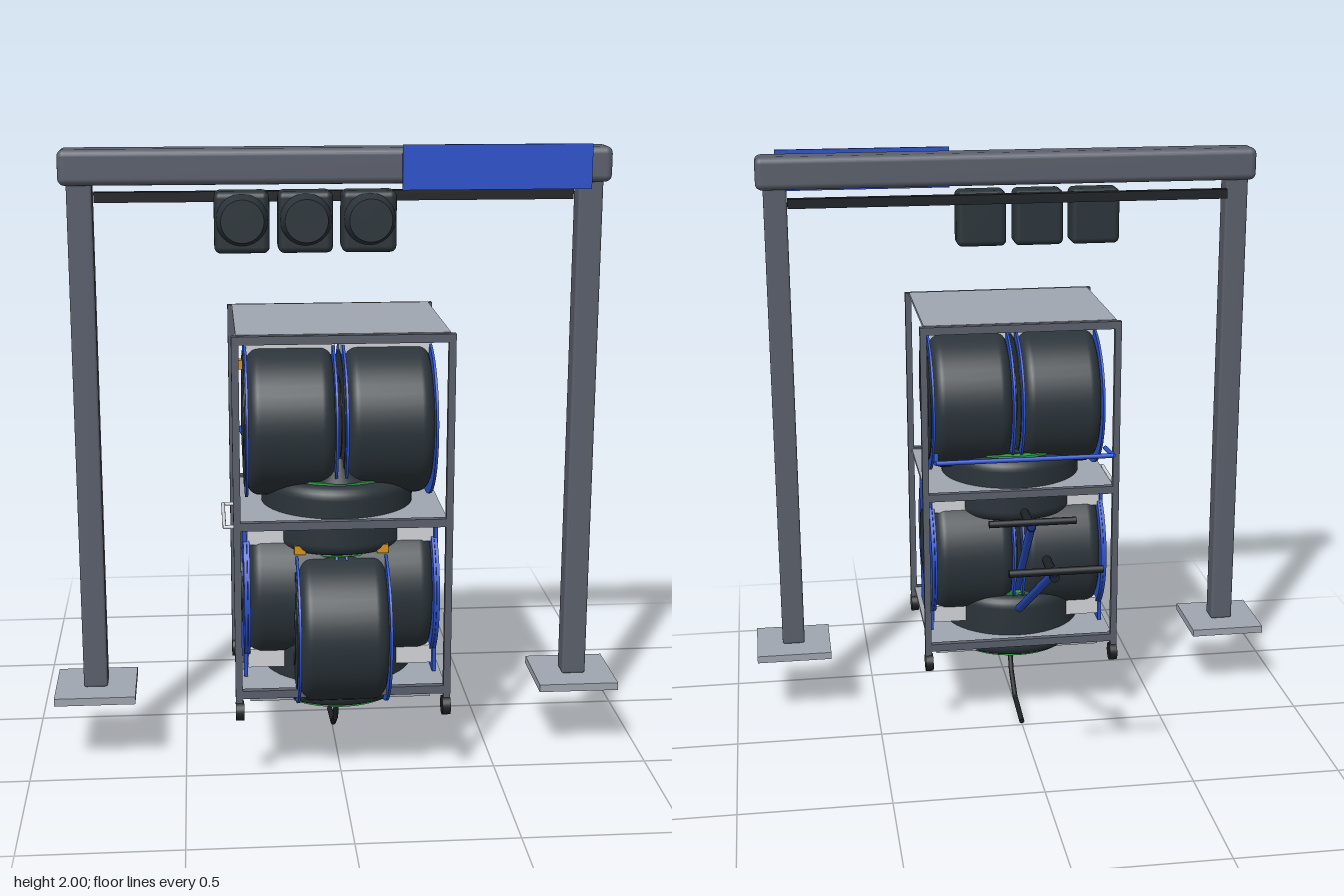
import * as THREE from 'three';
import { RoundedBoxGeometry } from 'three/addons/geometries/RoundedBoxGeometry.js';

const mat = (name, color) => {
  const m = new THREE.MeshStandardMaterial({ color });
  m.name = name;
  return m;
};

export function createModel() {
  const root = new THREE.Group();
  root.name = 'drumCartUnderGantry';
  const steel = mat('darkSteel', 0x5a5f6b);
  const plate = mat('lightSteel', 0xa0a6b0);
  const rubber = mat('darkRubber', 0x2b343a);
  const black = mat('black', 0x1d2124);
  const blue = mat('blue', 0x2b52cc);
  const green = mat('green', 0x2f9e44);
  const orange = mat('orange', 0xd8921c);
  const pale = mat('paleGrey', 0xd2d4d8);

  const add = (name, geo, material, x = 0, y = 0, z = 0, parent = root) => {
    const m = new THREE.Mesh(geo, material);
    m.name = name;
    m.position.set(x, y, z);
    parent.add(m);
    return m;
  };
  // Box given by its min and max on each axis
  const box = (name, material, x0, x1, y0, y1, z0, z1, r = 0) => {
    const s = [x1 - x0, y1 - y0, z1 - z0];
    const g = r ? new RoundedBoxGeometry(...s, 3, r) : new THREE.BoxGeometry(...s);
    return add(name, g, material, (x0 + x1) / 2, (y0 + y1) / 2, (z0 + z1) / 2);
  };
  // Round bar between two points
  const rod = (name, material, a, b, r) => {
    const p = new THREE.Vector3(...a), q = new THREE.Vector3(...b);
    const m = add(name, new THREE.CylinderGeometry(r, r, p.distanceTo(q), 16), material);
    m.position.copy(p).lerp(q, 0.5);
    m.quaternion.setFromUnitVectors(new THREE.Vector3(0, 1, 0), q.sub(p).normalize());
    return m;
  };
  // Wide round-shouldered drum with coloured rims and dark end discs, axis on y
  const drum = (name, width, rim, rimR, discR) => {
    const g = new THREE.Group();
    g.name = name;
    const h = width / 2, R = 0.243, c = 0.04, pts = [new THREE.Vector2(0.001, -h)];
    for (const s of [-1, 1]) {
      for (let i = 0; i <= 6; i++) {
        const a = (s < 0 ? i - 6 : i) / 6 * Math.PI / 2;
        pts.push(new THREE.Vector2(R - c + c * Math.cos(a), s * (h - c) + c * Math.sin(a)));
      }
    }
    pts.push(new THREE.Vector2(0.001, h));
    add('drumBody', new THREE.LatheGeometry(pts, 48), rubber, 0, 0, 0, g);
    for (const s of [-1, 1]) {
      add('drumRim', new THREE.CylinderGeometry(rimR, rimR, 0.008, 48), rim, 0, s * (h + 0.003), 0, g);
      add('drumEndDisc', new THREE.CylinderGeometry(discR, discR, 0.004, 48), rubber, 0, s * (h + 0.008), 0, g);
      add('drumHub', new THREE.CylinderGeometry(0.13, 0.13, 0.004, 40), rubber, 0, s * (h + 0.011), 0, g);
    }
    root.add(g);
    return g;
  };

  // Gantry
  box('gantryBeam', steel, -0.853, 0.853, 1.88, 1.99, 0.245, 0.36, 0.022);
  box('lampRail', black, -0.75, 0.75, 1.82, 1.852, 0.242, 0.272);
  box('signPanel', blue, 0.197, 0.785, 1.862, 2.0, 0.362, 0.371);
  for (const s of [-1, 1]) {
    box('gantryPost', steel, s * 0.79 - 0.039, s * 0.79 + 0.039, 0.25, 1.89, 0.266, 0.339, 0.008);
    box('footPlate', plate, s * 0.79 - 0.13, s * 0.79 + 0.13, 0.225, 0.25, 0.17, 0.43);
    add('footBolt', new THREE.CylinderGeometry(0.014, 0.014, 0.006, 16), black, s * 0.79, 0.224, 0.3);
  }
  for (const x of [-0.296, -0.1, 0.097]) {
    box('lampBody', rubber, x - 0.085, x + 0.085, 1.67, 1.86, 0.268, 0.367, 0.02);
    const lens = add('lampLens', new THREE.CylinderGeometry(0.066, 0.08, 0.045, 40), rubber, x, 1.775, 0.389);
    lens.rotation.x = Math.PI / 2;
  }

  // Cart frame
  for (const z of [0.022, 0.58]) {
    for (const s of [-1, 1]) {
      box('framePost', steel, s * 0.328 - 0.011, s * 0.328 + 0.011, 0.23, 1.455, z - 0.011, z + 0.011);
      const w = add('casterWheel', new THREE.CylinderGeometry(0.031, 0.031, 0.026, 24), black, s * 0.326, 0.256, z);
      w.rotation.z = Math.PI / 2;
    }
    for (const y of [0.312, 0.862, 1.442]) {
      box('frameCrossbar', steel, -0.328, 0.328, y - 0.013, y + 0.013, z - 0.011, z + 0.011);
    }
  }
  box('topPlate', plate, -0.325, 0.325, 1.445, 1.457, 0.03, 0.572);
  box('middleShelf', plate, -0.325, 0.325, 0.855, 0.868, 0.03, 0.572);
  box('bottomShelf', plate, -0.325, 0.325, 0.31, 0.322, 0.03, 0.572);
  box('lowerTray', plate, -0.29, 0.29, 0.245, 0.27, 0.12, 0.48);

  // Paired drums on each shelf, with pale shrouds
  for (const s of [-1, 1]) {
    for (const y of [1.135, 0.59]) {
      const d = drum('sideDrum', 0.27, blue, 0.25, 0.215);
      d.rotation.z = Math.PI / 2;
      d.position.set(s * 0.154, y, 0.302);
      const x = s * 0.304;
      box('orangeLatch', orange, x - 0.008, x + 0.008, y + 0.15, y + 0.18, 0.225, 0.255);
    }
    const a = s > 0 ? 0.01 : -0.295, b = s > 0 ? 0.295 : -0.01;
    box('upperShroud', pale, a, b, 1.35, 1.42, 0.255, 0.355);
    box('lowerShroudTop', pale, a, b, 0.765, 0.812, 0.14, 0.465);
    box('lowerShroudBottom', pale, a, b, 0.355, 0.415, 0.14, 0.465);
    // Blue side panel with a dark round window
    box('sidePanel', blue, s * 0.303 - 0.006, s * 0.303 + 0.006, 0.325, 0.855, 0.145, 0.468);
    const ring = add('sidePanelRing', new THREE.CylinderGeometry(0.25, 0.25, 0.01, 48), blue, s * 0.302, 0.59, 0.302);
    const win = add('sidePanelWindow', new THREE.CylinderGeometry(0.13, 0.13, 0.006, 40), rubber, s * 0.31, 0.59, 0.302);
    ring.rotation.z = win.rotation.z = Math.PI / 2;
    box('panelLatch', orange, s * 0.308 - 0.007, s * 0.308 + 0.007, 0.74, 0.77, 0.225, 0.255);
    box('frontLatch', orange, s * 0.13 - 0.018, s * 0.13 + 0.018, 0.742, 0.77, 0.46, 0.505);
  }

  // Front drum and the two flat-lying drums
  const front = drum('frontDrum', 0.275, blue, 0.25, 0.215);
  front.rotation.z = Math.PI / 2;
  front.position.set(0, 0.49, 0.446);
  drum('middleFlatDrum', 0.225, green, 0.205, 0.175).position.set(0, 0.852, 0.302);
  drum('bottomFlatDrum', 0.225, green, 0.205, 0.175).position.set(0, 0.347, 0.302);
  add('bottomCap', new THREE.CylinderGeometry(0.14, 0.14, 0.004, 40), steel, 0, 0.222, 0.302);
  add('middleCone', new THREE.CylinderGeometry(0.01, 0.08, 0.065, 32), rubber, 0, 1.005, 0.44);

  // Rear push bar
  rod('pushBar', blue, [-0.3, 1.012, -0.07], [0.3, 1.012, -0.07], 0.008);
  for (const s of [-1, 1]) rod('pushBarArm', blue, [s * 0.3, 1.012, -0.07], [s * 0.29, 1.012, 0.02], 0.008);

  // Two raked poles with grips and T-handles
  for (const [z0, y0, z1, y1] of [[0.13, 0.477, -0.225, 0.845], [0.13, 0.385, -0.682, 0.848]]) {
    rod('pole', blue, [0, y0, z0], [0, y1, z1], 0.014);
    rod('poleGrip', black, [0, 0.818, z1 + 0.018], [0, 0.818, z1 + 0.175], 0.015);
    rod('teeHandle', black, [-0.145, y1, z1 - 0.004], [0.145, y1, z1 - 0.004], 0.012);
  }

  // Side carry handle
  rod('carryHandle', pale, [-0.365, 0.815, 0.17], [-0.365, 0.815, 0.43], 0.006);
  for (const z of [0.17, 0.43]) rod('carryHandleArm', pale, [-0.368, 0.815, z], [-0.305, 0.815, z], 0.006);

  // Trailing cable
  rod('cablePlug', rubber, [0, 0.225, 0.304], [0, 0.17, 0.304], 0.017);
  rod('cableCollar', pale, [0, 0.175, 0.304], [0, 0.158, 0.302], 0.012);
  const path = [[0, 0.165, 0.304], [0, 0.092, 0.27], [0, 0.03, 0.175], [0, 0.01, 0.01]];
  for (let i = 0; i < 3; i++) rod('cable', black, path[i], path[i + 1], 0.009);

  return root;
}
